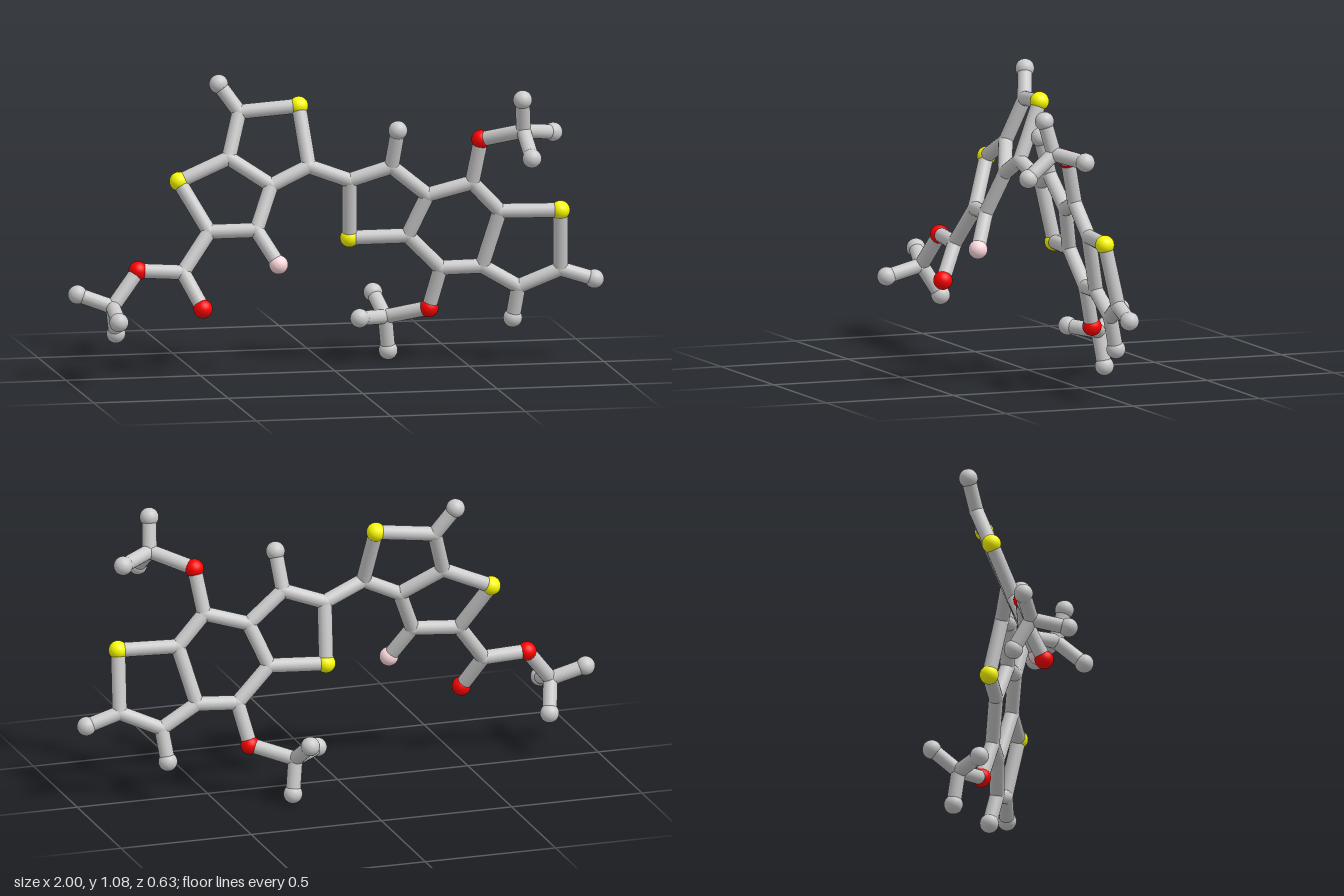
import * as THREE from 'three';

const BOND_R = 0.027, BALL_R = 0.035;
const grey = new THREE.MeshStandardMaterial({ color: 0xcccccc });
const yellow = new THREE.MeshStandardMaterial({ color: 0xffff00 });
const red = new THREE.MeshStandardMaterial({ color: 0xff0000 });
const pink = new THREE.MeshStandardMaterial({ color: 0xffdbe0 });

// kind: material, radius and part name of each ball
const kinds = {
  C: [grey, BOND_R + 0.001, 'joint'],
  H: [grey, BALL_R, 'endBall'],
  S: [yellow, BALL_R, 'yellowBall'],
  O: [red, BALL_R, 'redBall'],
  F: [pink, BALL_R, 'pinkBall'],
};

// The two ring systems are flat, each in its own tilted plane
const leftPlane = (x, y) => 0.304 + 0.176 * x - 0.39 * y;
const rightPlane = (x, y) => -0.188 + 0.124 * x + 0.2175 * y;

function ballAndBonds(name, atoms, bonds, plane) {
  const group = new THREE.Group();
  group.name = name;
  const points = {};
  for (const [id, [kind, x, y, z = plane(x, y)]] of Object.entries(atoms)) {
    const [material, radius, label] = kinds[kind];
    const ball = new THREE.Mesh(new THREE.SphereGeometry(radius, 24, 16), material);
    ball.name = label;
    ball.position.set(x, y, z);
    points[id] = ball.position;
    group.add(ball);
  }
  // Each chain is a run of balls joined by rods
  for (const chain of bonds) {
    const ids = chain.split(' ');
    for (let i = 1; i < ids.length; i++) group.add(rod(points[ids[i - 1]], points[ids[i]]));
  }
  return { group, points };
}

function rod(a, b) {
  const dir = b.clone().sub(a);
  const mesh = new THREE.Mesh(new THREE.CylinderGeometry(BOND_R, BOND_R, dir.length(), 20, 1, true), grey);
  mesh.name = 'rod';
  mesh.position.copy(a).addScaledVector(dir, 0.5);
  mesh.quaternion.setFromUnitVectors(new THREE.Vector3(0, 1, 0), dir.normalize());
  return mesh;
}

export function createModel() {
  const model = new THREE.Group();
  model.name = 'ballAndStickModel';

  // Two fused five-sided rings with a branched tail
  const left = ballAndBonds('doubleRing', {
    tip: ['H', -0.4, 1.05, -0.155],
    a: ['C', -0.33, 0.95],
    s1: ['S', -0.115, 0.97],
    link: ['C', -0.095, 0.76],
    e: ['C', -0.235, 0.695],
    f: ['C', -0.38, 0.79],
    s2: ['S', -0.565, 0.71],
    h: ['C', -0.47, 0.535],
    i: ['C', -0.3, 0.54],
    pink: ['F', -0.23, 0.42, 0.1],
    k: ['C', -0.575, 0.395],
    o1: ['O', -0.515, 0.27, 0.12],
    o2: ['O', -0.74, 0.405, 0.04],
    m: ['C', -0.84, 0.28, 0.07],
    m1: ['H', -0.965, 0.325, 0.04],
    m2: ['H', -0.815, 0.17, 0.005],
    m3: ['H', -0.845, 0.245, 0.205],
  }, ['tip a s1 link e f a', 'f s2 h i e', 'i pink', 'h k o1', 'k o2 m m1', 'm2 m m3'], leftPlane);

  // Five-, six- and five-sided fused rings with two branched arms
  const right = ballAndBonds('tripleRing', {
    link: ['C', 0.06, 0.7],
    s1: ['S', 0.07, 0.48],
    r: ['C', 0.28, 0.485],
    t: ['C', 0.345, 0.64],
    u: ['C', 0.21, 0.75],
    uTip: ['H', 0.225, 0.89, 0.043],
    w: ['C', 0.505, 0.685],
    y: ['C', 0.61, 0.575],
    s2: ['S', 0.83, 0.575],
    p: ['C', 0.84, 0.35],
    pTip: ['H', 0.965, 0.31],
    q: ['C', 0.69, 0.285],
    qTip: ['H', 0.675, 0.165],
    c: ['C', 0.555, 0.365],
    d: ['C', 0.405, 0.36],
    // Upper arm
    o1: ['O', 0.53, 0.85, 0.062],
    m: ['C', 0.665, 0.895, 0.172],
    m1: ['H', 0.655, 1.015, 0.205],
    m2: ['H', 0.79, 0.875, 0.1],
    m3: ['H', 0.675, 0.81, 0.277],
    // Lower arm
    o2: ['O', 0.37, 0.207, -0.1],
    n: ['C', 0.225, 0.165, -0.185],
    n1: ['H', 0.24, 0.038, -0.203],
    n2: ['H', 0.115, 0.175, -0.11],
    n3: ['H', 0.2, 0.24, -0.282],
  }, ['link s1 r t u link', 'u uTip', 't w y c d r', 'y s2 p q c', 'p pTip', 'q qTip',
    'w o1 m m1', 'm2 m m3', 'd o2 n n1', 'n2 n n3'], rightPlane);

  // Rod joining the two halves
  const bridge = rod(left.points.link, right.points.link);
  bridge.name = 'bridgeRod';
  model.add(left.group, right.group, bridge);
  return model;
}
